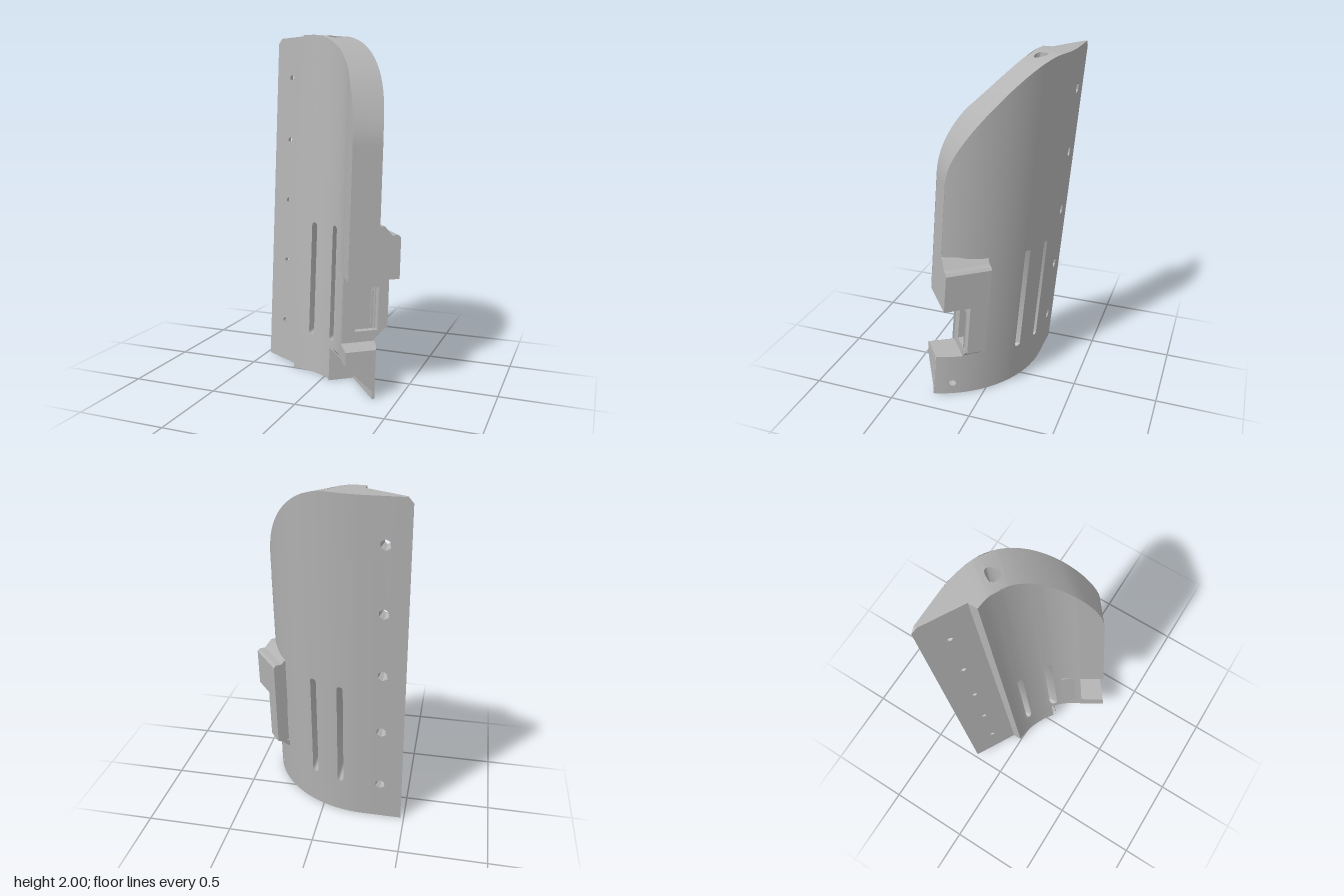
import * as THREE from 'three';
import { mergeGeometries, toCreasedNormals } from 'three/addons/utils/BufferGeometryUtils.js';

const V = (x, y, z) => new THREE.Vector3(x, y, z);
const lerp = THREE.MathUtils.lerp;
const range = (a, b, n) => Array.from({ length: n + 1 }, (_, i) => lerp(a, b, i / n));

// Plan curves: concentric arcs for the back and the hollow, a flat wedge on one side
const CX = -0.25, CZ = 0.448, RO = 0.648, RI = 0.455;
const backZ = x => x < CX ? -0.2 : CZ - Math.sqrt(RO * RO - (x - CX) ** 2);
const hollowZ = x => x < 0.165 ? CZ - Math.sqrt(RI * RI - (x - CX) ** 2)
  : lerp(0.261, 0.385, (x - 0.165) / 0.075);
const wedgeZ = x => -0.2 + 0.56 * (x + 0.48);
const back = (x, y) => V(x, y, backZ(x));
const hollow = (x, y) => V(x, y, hollowZ(x));
const wedge = (x, y) => V(x, y, wedgeZ(x));

// Slanted axes of the end face: u runs across the wall, w runs out of the face
const W = (u, y, w) => V(0.791 * u + 0.612 * w, y, -0.612 * u + 0.791 * w);
const backU = w => -0.471 + Math.sqrt(RO * RO - (w - 0.2015) ** 2);
const hollowU = w => w < 0.297 ? -0.471 + Math.sqrt(RI * RI - (w - 0.2015) ** 2)
  : lerp(-0.026, -0.045, (w - 0.297) / 0.153);
const END = 0.45, NOTCH = 0.297, POCKET = 0.12;

// Rounded top outline
const arch = (x, c, r) => x <= c ? 2 : 1.38 + 0.62 * Math.sqrt(Math.max(0, 1 - ((x - c) / r) ** 2));
const backTop = x => x < -0.45 ? lerp(1.97, 2, (x + 0.48) / 0.03) : arch(x, -0.05, 0.425);
const hollowTop = x => arch(x, -0.18, 0.42);

const toFn = f => typeof f === 'function' ? f : () => f;

// Surface over vertical strips of a 2D outline, with holes, mapped into space
function skin(map, breaks, lo, hi, holes = []) {
  lo = toFn(lo); hi = toFn(hi);
  let xs = [...breaks];
  const first = xs[0], last = xs[xs.length - 1];
  for (const h of holes) {
    const hx = h.map(p => p.x), m = (Math.max(...hx) - Math.min(...hx)) * 0.2;
    const a = Math.max(first, Math.min(...hx) - m), b = Math.min(last, Math.max(...hx) + m);
    xs = xs.filter(x => x < a || x > b).concat([a, b]);
  }
  xs = [...new Set(xs)].sort((a, b) => a - b);
  const parts = [];
  for (let i = 0; i + 1 < xs.length; i++) {
    const a = xs[i], b = xs[i + 1];
    if (b - a < 1e-5) continue;
    const s = new THREE.Shape([[a, lo(a)], [b, lo(b)], [b, hi(b)], [a, hi(a)]].map(p => new THREE.Vector2(...p)));
    for (const h of holes) if (h[0].x > a && h[0].x < b) s.holes.push(new THREE.Path(h));
    const g = new THREE.ShapeGeometry(s).toNonIndexed();
    const p = g.attributes.position;
    for (let k = 0; k < p.count; k++) {
      const q = map(p.getX(k), p.getY(k));
      p.setXYZ(k, q.x, q.y, q.z);
    }
    g.deleteAttribute('uv');
    parts.push(g);
  }
  return toCreasedNormals(mergeGeometries(parts), 0.6);
}
const loft = (a, b, ts, holes) => skin((t, v) => a(t).lerp(b(t), v), ts, 0, 1, holes);
const bore = (ca, mapA, cb, mapB) => loft(
  i => mapA(ca[Math.round(i) % ca.length]), i => mapB(cb[Math.round(i) % cb.length]), range(0, ca.length, ca.length));
const ring = (x, y, rx, ry, n) => range(0, n - 1, n - 1).map(i =>
  new THREE.Vector2(x + rx * Math.cos((i + 0.5) / n * 2 * Math.PI), y + ry * Math.sin((i + 0.5) / n * 2 * Math.PI)));
const slot = (x, y0, y1, r) => ring(x, 0, r, r, 12).map(p => new THREE.Vector2(p.x, p.y + (p.y > 0 ? y1 - r : y0 + r)));
const shapeOf = pts => new THREE.Shape(pts.map(p => new THREE.Vector2(...p)));

export function createModel() {
  const root = new THREE.Group();
  const grey = new THREE.MeshStandardMaterial({ color: 0xb4b4b4, side: THREE.DoubleSide });
  grey.name = 'grey';
  // Everything leans back with height
  const add = (name, g) => {
    const p = g.attributes.position;
    for (let i = 0; i < p.count; i++) p.setZ(i, p.getZ(i) - 0.0865 * p.getY(i));
    g = toCreasedNormals(g, 0.6);
    const m = new THREE.Mesh(g, grey);
    m.name = name;
    root.add(m);
  };
  // Block drawn in the end face axes and extruded outwards
  const block = (name, pts, w0, w1, hole) => {
    const s = shapeOf(pts);
    if (hole) s.holes.push(new THREE.Path(hole.map(p => new THREE.Vector2(...p))));
    const g = new THREE.ExtrudeGeometry(s, { depth: w1 - w0, bevelEnabled: false });
    g.applyMatrix4(new THREE.Matrix4().makeBasis(W(1, 0, 0), V(0, 1, 0), W(0, 0, 1)).setPosition(W(0, 0, w0)));
    add(name, g);
  };

  const slots = [slot(-0.112, 0.225, 0.895, 0.019), slot(0.052, 0.232, 0.9, 0.019)];
  const ys = [0.245, 0.625, 1.0, 1.375, 1.755];
  const screwFront = ys.map(y => ring(-0.352, y, 0.016, 0.016, 6));
  const screwBack = ys.map(y => ring(-0.352, y, 0.03, 0.03, 6));
  const degs = range(0, 90, 30);
  const archXs = (c, r) => degs.map(d => c + r * Math.cos(d * Math.PI / 180));
  const pinHole = ring(0.338, 0.075, 0.01, 0.02, 10);

  // Outer back wall; the strip with screw holes is kept flat
  const notchX = W(backU(NOTCH), 0, NOTCH).x;
  const bx = archXs(-0.05, 0.425);
  add('backScrewStrip', (() => {
    const s = shapeOf([[-0.4, 0], [-0.3, 0], [-0.3, 2], [-0.4, 2]]);
    screwBack.forEach(h => s.holes.push(new THREE.Path(h)));
    return new THREE.ShapeGeometry(s).toNonIndexed().translate(0, 0, -0.2);
  })());
  add('backEdge', skin(back, [-0.48, -0.45, -0.4], 0, backTop));
  add('backWall', skin(back, [-0.3, -0.25, ...range(-0.22, -0.05, 6), ...bx.filter(x => x < notchX), notchX], 0, backTop, slots));
  add('backWallEnd', skin(back, [notchX, ...bx.filter(x => x > notchX)], 0.65, backTop));
  add('backWallFoot', skin(back, [notchX, ...range(0.325, 0.375, 5)], 0, 0.27, [pinHole]));
  add('pinHole', bore(pinHole, p => back(p.x, p.y), pinHole, p => back(p.x, p.y).add(W(-0.05, 0, 0))));

  // Wedge flange with screw holes
  add('wedgeFace', (() => {
    const s = shapeOf([[-0.48, 0], [-0.23, 0], [-0.23, 2], [-0.45, 2], [-0.48, 1.97]]);
    screwFront.forEach(h => s.holes.push(new THREE.Path(h)));
    const g = new THREE.ShapeGeometry(s).toNonIndexed(), p = g.attributes.position;
    for (let i = 0; i < p.count; i++) p.setZ(i, wedgeZ(p.getX(i)));
    return g;
  })());
  ys.forEach((_, i) => add('screwHole', bore(screwFront[i], p => wedge(p.x, p.y), screwBack[i], p => back(p.x, p.y))));
  for (const [name, top] of [['wedgeTop', backTop], ['wedgeBottom', () => 0]])
    add(name, loft(x => wedge(x, top(x)), x => back(x, top(x)), [-0.48, -0.45, -0.35, -0.25, -0.23]));
  add('wedgeStep', loft(t => V(-0.23, t * 2, wedgeZ(-0.23)), t => V(-0.23, t * 2, hollowZ(-0.23)), [0, 1]));

  // Hollow front wall
  const hx = [...range(-0.23, -0.18, 2), ...archXs(-0.18, 0.42)];
  add('hollowWall', skin(hollow, [...hx.filter(x => x < 0.165), 0.165], 0.19, hollowTop, slots));
  add('hollowWallEnd', skin(hollow, [0.165, ...hx.filter(x => x > 0.165)], 0.65, hollowTop));
  add('hollowWallFoot', skin(hollow, range(-0.23, 0.04, 12), 0, 0.19));
  add('hollowWallLip', skin(hollow, [0.165, 0.2, 0.24], 0.19, 0.27));
  slots.forEach(h => add('ventSlot', bore(h, p => hollow(p.x, p.y), h, p => back(p.x, p.y))));

  // Rounded top rim with a cord hole
  const rimPoint = (c, r, surf) => d => {
    const a = Math.min(d, 90) * Math.PI / 180;
    const x = d > 90 ? lerp(c, -0.23, (d - 90) / 10) : c + r * Math.cos(a);
    return surf(x, 1.38 + 0.62 * Math.sin(a));
  };
  const rimIn = rimPoint(-0.18, 0.42, hollow), rimOut = rimPoint(-0.05, 0.425, back);
  const cord = ring(79, 0.38, 4.5, 0.15, 14);
  cord.forEach(p => { if (p.y > 0.4) { p.x += (p.y - 0.4) * 22; p.y += (p.y - 0.4) * 0.9; } });
  const rim = p => rimIn(p.x).lerp(rimOut(p.x), p.y);
  add('topRim', loft(rimIn, rimOut, [...degs, 93, 96, 100], [cord]));
  add('cordHole', bore(cord, rim, cord, p => rim(p).add(V(0, -0.15, 0))));

  // Underside, and the ramped pocket cut into its corner
  add('underside', loft(t => hollow(lerp(-0.23, 0.04, t), 0), t => back(lerp(-0.23, W(backU(POCKET), 0, POCKET).x, t), 0), range(0, 1, 16)));
  const ws = range(POCKET, END, 12);
  add('pocketRamp', loft(w => W(hollowU(w), 0.19, w), w => W(0.115, 0.04, w), ws));
  add('pocketSide', loft(w => W(0.115, 0.04, w), w => W(0.115, 0, w), ws));
  add('pocketRim', loft(w => W(0.115, 0, w), w => W(backU(w), 0, w), ws));
  const flat = (name, pts, w) => {
    const g = new THREE.ShapeGeometry(shapeOf(pts)).toNonIndexed(), p = g.attributes.position;
    for (let i = 0; i < p.count; i++) {
      const q = W(p.getX(i), p.getY(i), w);
      p.setXYZ(i, q.x, q.y, q.z);
    }
    add(name, g);
  };
  flat('pocketBack', [[-0.035, 0], [0.115, 0], [0.115, 0.04], [-0.035, 0.19]], POCKET);

  // End faces above and below the notch
  const e0 = hollowU(END), e1 = backU(END);
  flat('endFace', [[e0, 0.65], [e1, 0.65], [e1, 1.38], [e0, 1.38]], END);
  flat('footEndFace', [[e0, 0.19], [0.115, 0.04], [0.115, 0], [e1, 0], [e1, 0.27], [e0, 0.27]], END);
  const ns = range(NOTCH, END, 6);
  for (const [name, y] of [['notchCeiling', 0.65], ['notchFloor', 0.27]])
    add(name, loft(w => W(hollowU(w), y, w), w => W(backU(w), y, w), ns));

  // Side housing with a framed window set back in the notch
  block('housingTop', [[0.1, 0.65], [0.25, 0.65], [0.25, 0.875], [0.237, 0.89], [0.2, 0.89], [0.155, 0.94], [0.1, 0.94]], 0.19, END);
  block('housingFrame', [[-0.022, 0.27], [0.165, 0.27], [0.225, 0.33], [0.25, 0.34], [0.25, 0.65], [-0.022, 0.65]], 0.19, NOTCH,
    [[0.055, 0.33], [0.19, 0.33], [0.19, 0.575], [0.055, 0.575]]);
  block('windowFloor', [[0.05, 0.325], [0.195, 0.325], [0.195, 0.58], [0.05, 0.58]], 0.2, 0.255);
  block('windowBar', [[0.16, 0.36], [0.18, 0.36], [0.18, 0.55], [0.16, 0.55]], 0.255, 0.264);
  return root;
}
